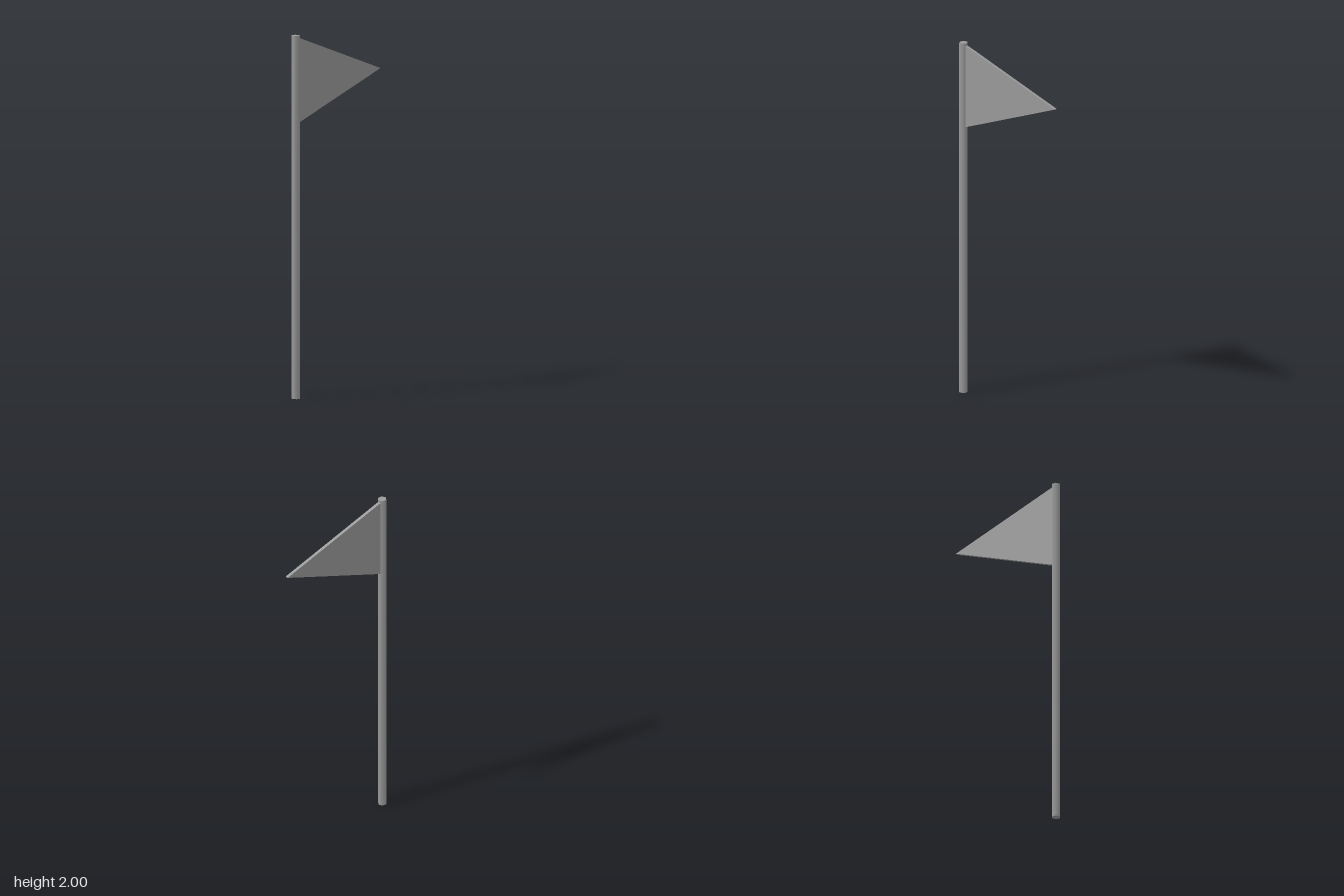
import * as THREE from 'three';

export function createModel() {
  const group = new THREE.Group();
  const material = new THREE.MeshStandardMaterial({ color: 0x9b9b9b });

  // Six-sided, smooth-shaded pole with corners pointing along x
  const poleRadius = 0.0245, poleX = -0.3155, height = 2;
  const pole = new THREE.Mesh(
    new THREE.CylinderGeometry(poleRadius, poleRadius, height, 6, 1, false, Math.PI / 6),
    material
  );
  pole.name = 'pole';
  pole.position.set(poleX, height / 2, 0);
  group.add(pole);

  // Thin triangular pennant, its base edge set slightly into the pole
  const thickness = 0.018;
  const outline = new THREE.Shape([
    new THREE.Vector2(-0.3, 1.518),
    new THREE.Vector2(0.338, 1.752),
    new THREE.Vector2(-0.3, 1.986),
  ]);
  const flag = new THREE.Mesh(
    new THREE.ExtrudeGeometry(outline, { depth: thickness, bevelEnabled: false }),
    material
  );
  flag.name = 'flag';
  flag.position.z = -thickness / 2 - 0.001;
  group.add(flag);

  return group;
}
